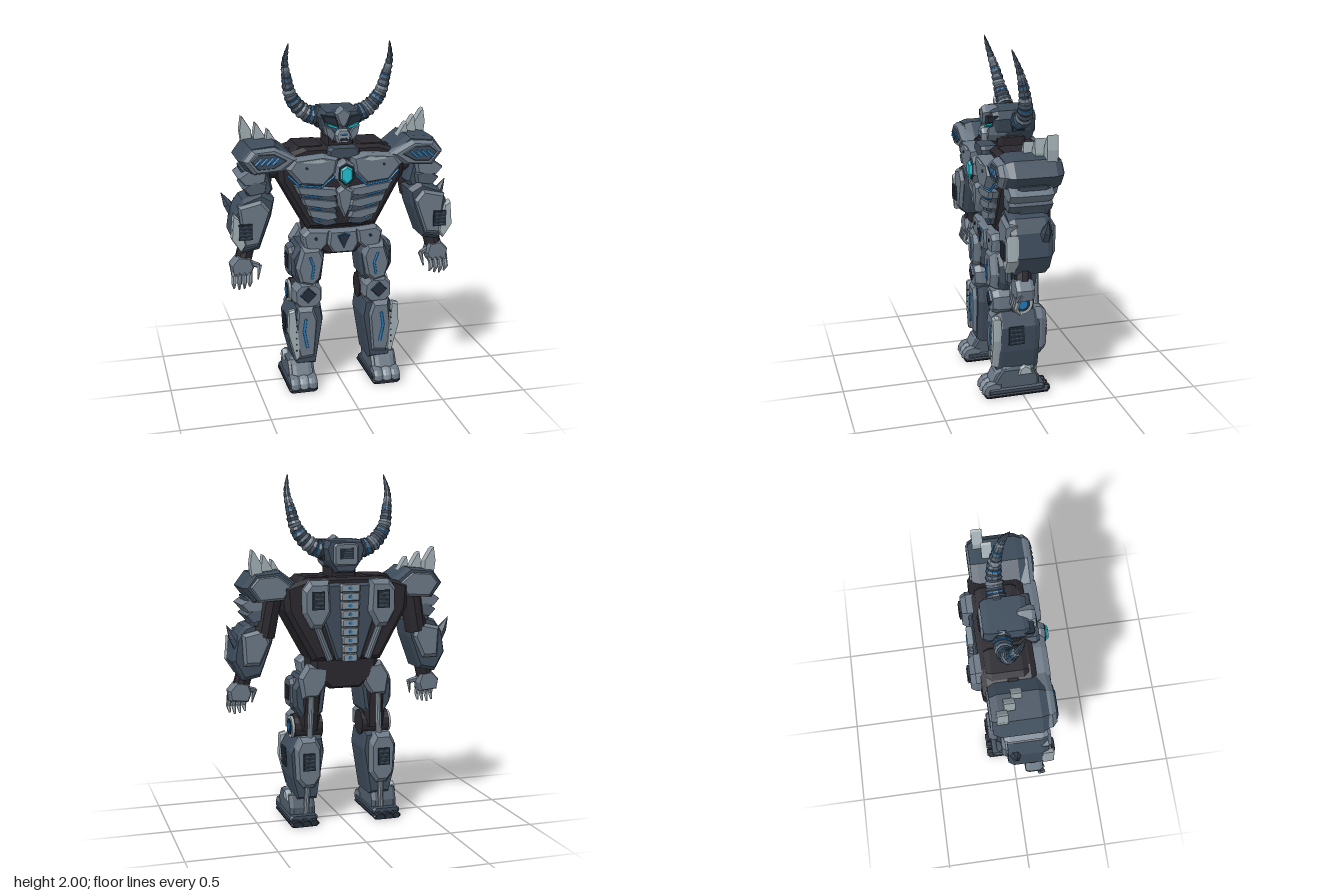
import * as THREE from 'three';
import { ConvexGeometry } from 'three/addons/geometries/ConvexGeometry.js';

const material = (name, color) => Object.assign(new THREE.MeshStandardMaterial({ color, flatShading: true }), { name });
const navy = material('navy armour', 0x3d4b5a), steel = material('steel armour', 0x6a7784);
const pale = material('pale plate', 0x9facb2), dark = material('dark frame', 0x29272d);
const shade = material('deep navy', 0x242d38), blue = material('blue light', 0x2078ba);
const cyan = material('cyan glow', 0x22bccd), slate = material('slate', 0x4f5c6a);
const silver = material('silver', 0x84919c);

export function createModel() {
  const root = new THREE.Group();
  let part = root, side = 1; // side mirrors x

  const group = (name, build) => {
    part = new THREE.Group();
    part.name = name;
    root.add(part);
    build();
    part = root;
  };
  const both = (name, build) => {
    for (side of [1, -1]) group((side > 0 ? 'left ' : 'right ') + name, build);
    side = 1;
  };
  const add = (name, mat, geo) => {
    const mesh = new THREE.Mesh(geo, mat);
    mesh.name = name;
    part.add(mesh);
    return mesh;
  };
  // Convex armour plate: an outline swept along an axis, with both ends chamfered
  const slab = (name, mat, pts, d0, d1, b = 0.02, k = 0.82, axis = 'z') => {
    const cx = pts.reduce((a, p) => a + p[0], 0) / pts.length, cy = pts.reduce((a, p) => a + p[1], 0) / pts.length;
    const out = [];
    for (const [d, s] of [[d0, k], [d0 + b, 1], [d1 - b, 1], [d1, k]]) {
      for (const p of pts) {
        const u = cx + (p[0] - cx) * s, v = cy + (p[1] - cy) * s;
        out.push(axis === 'z' ? new THREE.Vector3(side * u, v, d) : new THREE.Vector3(side * d, v, u));
      }
    }
    return add(name, mat, new ConvexGeometry(out));
  };
  const slabX = (name, mat, pts, x0, x1, b, k) => slab(name, mat, pts, x0, x1, b, k, 'x');
  const octagon = (x0, x1, y0, y1, c) => [[x0 + c, y0], [x1 - c, y0], [x1, y0 + c], [x1, y1 - c], [x1 - c, y1], [x0 + c, y1], [x0, y1 - c], [x0, y0 + c]];
  const block = (name, mat, x0, x1, y0, y1, z0, z1, c = 0.02) => slab(name, mat, octagon(x0, x1, y0, y1, c), z0, z1, c, 0.85);
  // Tapered rod between two points
  const rod = (name, mat, a, b, r0, r1 = r0, n = 10) => {
    const p = new THREE.Vector3(side * a[0], a[1], a[2]), q = new THREE.Vector3(side * b[0], b[1], b[2]);
    const mesh = add(name, mat, new THREE.CylinderGeometry(r1, r0, p.distanceTo(q), n));
    mesh.position.copy(p).lerp(q, 0.5);
    mesh.quaternion.setFromUnitVectors(new THREE.Vector3(0, 1, 0), q.sub(p).normalize());
  };
  const line = (name, mat, pts, r = 0.007) => {
    for (let i = 1; i < pts.length; i++) rod(name, mat, pts[i - 1], pts[i], r, r, 16);
  };
  // Vent with slats, facing sideways or along z
  const vent = (u, v, w, h, d, axis, dir = 1) => {
    const box = (n, m, y, hh, e, ww) => {
      const g = axis === 'x' ? new THREE.BoxGeometry(0.012, hh, ww) : new THREE.BoxGeometry(ww, hh, 0.012);
      add(n, m, g).position.set(axis === 'x' ? side * (d + e) : side * u, y, axis === 'x' ? u : d + e * dir);
    };
    box('vent frame', shade, v, h, 0, w);
    for (let i = 0; i < 4; i++) box('vent slat', navy, v + h * (i - 1.5) * 0.23, h * 0.07, 0.004, w * 0.8);
  };

  group('torso', () => {
    slab('torso core', dark, [[-0.22, 1.43], [0.22, 1.43], [0.37, 1.38], [0.36, 1.25], [0.2, 0.96], [-0.2, 0.96], [-0.36, 1.25], [-0.37, 1.38]], -0.17, 0.13, 0.03, 0.92);
    block('neck', dark, -0.08, 0.08, 1.4, 1.5, -0.08, 0.08);
    block('collar', navy, -0.09, 0.09, 1.37, 1.435, 0.08, 0.175);
    slab('gem housing', steel, [[0, 1.37], [0.05, 1.34], [0.055, 1.26], [0, 1.2], [-0.055, 1.26], [-0.05, 1.34]], 0.12, 0.212);
    slab('gem rim', shade, [[0, 1.35], [0.042, 1.33], [0.042, 1.26], [0, 1.225], [-0.042, 1.26], [-0.042, 1.33]], 0.2, 0.22, 0.008, 0.95);
    slab('chest gem', cyan, [[0, 1.342], [0.034, 1.322], [0.034, 1.265], [0, 1.235], [-0.034, 1.265], [-0.034, 1.322]], 0.2, 0.235, 0.012, 0.8);
    slab('sternum', steel, [[0, 1.22], [0.045, 1.19], [0.03, 1.1], [0, 1.03], [-0.03, 1.1], [-0.045, 1.19]], 0.12, 0.2);
    slab('back plate', navy, [[-0.13, 1.4], [0.13, 1.4], [0.15, 1.2], [0.07, 0.96], [-0.07, 0.96], [-0.15, 1.2]], -0.19, -0.15, 0.015, 0.93);
    for (let i = 0; i < 9; i++) {
      const y = 0.96 + i * 0.049, w = 0.043 + i * 0.002;
      block('vertebra', silver, -w, w, y, y + 0.044, -0.215, -0.18, 0.006);
      rod('vertebra light', blue, [0, y + 0.022, -0.21], [0, y + 0.022, -0.219], 0.01, 0.01, 16);
    }
  });
  both('chest armour', () => {
    slab('pectoral', steel, [[0.335, 1.33], [0.295, 1.385], [0.12, 1.4], [0.035, 1.38], [0.05, 1.3], [0.12, 1.225], [0.26, 1.24]], 0.09, 0.205, 0.03, 0.84);
    slab('pectoral trim', pale, [[0.28, 1.37], [0.13, 1.385], [0.09, 1.37], [0.15, 1.358]], 0.15, 0.207, 0.008, 0.9);
    rod('rivet', shade, [0.22, 1.335, 0.195], [0.22, 1.335, 0.21], 0.008);
    line('chest light', blue, [[0.32, 1.29, 0.16], [0.26, 1.232, 0.17], [0.13, 1.216, 0.175], [0.06, 1.28, 0.19]], 0.006);
    for (let i = 0; i < 3; i++) {
      const y = 1.2 - i * 0.07, w = 0.285 - i * 0.035, z = 0.185 - i * 0.008;
      slab('rib', steel, [[w, y + 0.03], [w - 0.02, y - 0.015], [0.09, y - 0.045], [0.03, y - 0.035], [0.045, y], [0.12, y + 0.008]], 0.02, z, 0.02, 0.88);
      slab('rib gap', navy, [[w - 0.02, y + 0.005], [w - 0.04, y - 0.055], [0.1, y - 0.08], [0.03, y - 0.07], [0.05, y - 0.04]], 0.02, z - 0.02, 0.02, 0.92);
      line('rib light', blue, [[w - 0.06, y - 0.03, z - 0.022], [0.13, y - 0.047, z - 0.018]], 0.005);
    }
    slab('flank plate', navy, [[0.34, 1.28], [0.28, 1.28], [0.19, 1.02], [0.22, 1.02]], -0.06, 0.12, 0.02, 0.9);
    slab('back pod', steel, [[0.12, 1.42], [0.23, 1.42], [0.27, 1.37], [0.27, 1.24], [0.22, 1.15], [0.16, 1.15], [0.11, 1.24]], -0.225, -0.12, 0.03, 0.8);
    vent(0.19, 1.31, 0.07, 0.1, -0.23, 'z', -1);
    rod('back pipe', steel, [0.2, 1.2, -0.18], [0.11, 0.97, -0.18], 0.02);
    block('trapezius', dark, 0.08, 0.28, 1.37, 1.44, -0.14, 0.09, 0.03);
  });

  group('head', () => {
    slab('skull', navy, [[-0.1, 1.635], [0.1, 1.635], [0.12, 1.59], [0.1, 1.52], [0.05, 1.45], [-0.05, 1.45], [-0.1, 1.52], [-0.12, 1.59]], -0.13, 0.115, 0.03, 0.88);
    slab('crest', steel, [[0, 1.655], [0.045, 1.62], [0.02, 1.56], [0, 1.54], [-0.02, 1.56], [-0.045, 1.62]], 0.06, 0.155, 0.02, 0.82);
    slab('muzzle', silver, [[0.025, 1.53], [0.042, 1.5], [0.03, 1.455], [-0.03, 1.455], [-0.042, 1.5], [-0.025, 1.53]], 0.08, 0.162, 0.015, 0.85);
    block('mouth', shade, -0.022, 0.022, 1.468, 1.484, 0.15, 0.168, 0.005);
    line('nose light', blue, [[-0.02, 1.502, 0.159], [0.02, 1.502, 0.159]], 0.006);
    block('rear head plate', steel, -0.075, 0.075, 1.49, 1.62, -0.142, -0.11, 0.015);
    vent(0, 1.56, 0.08, 0.06, -0.141, 'z', -1);
  });
  both('face and horn', () => {
    slab('brow', shade, [[0.04, 1.6], [0.115, 1.61], [0.105, 1.575], [0.02, 1.54]], 0.08, 0.14, 0.01, 0.9);
    slab('eye', cyan, [[0.092, 1.568], [0.083, 1.552], [0.035, 1.534], [0.027, 1.543]], 0.1, 0.146, 0.004, 0.95);
    slab('cheek', steel, [[0.1, 1.55], [0.06, 1.535], [0.04, 1.5], [0.055, 1.46], [0.09, 1.5]], 0.03, 0.135, 0.015, 0.85);
    vent(-0.03, 1.55, 0.07, 0.06, 0.112, 'x');
    const path = new THREE.CatmullRomCurve3([[0.08, 1.58, -0.03], [0.15, 1.59, -0.035], [0.21, 1.63, -0.035], [0.26, 1.7, -0.025], [0.285, 1.8, -0.005], [0.3, 1.9, 0.025], [0.287, 2, 0.06]].map(p => new THREE.Vector3(...p)));
    const n = 16, radius = t => 0.054 * (1 - t) ** 0.75 + 0.002, at = i => path.getPointAt(i / n).toArray();
    // Each ring swells in the middle
    for (let i = 0; i < n; i++) {
      const mat = i % 4 === 3 && i < 12 ? steel : navy, r = radius((i + 0.5) / n) * 1.08;
      rod('horn ring', mat, at(i), at(i + 0.5), radius(i / n) * 0.9, r, 10);
      rod('horn ring', mat, at(i + 0.5), at(i + 1), r, radius((i + 1) / n) * 0.9, 10);
      if (i % 4 === 1 && i < 10) rod('horn light', blue, at(i + 0.9), at(i + 1.1), radius((i + 1) / n) * 1.04, radius((i + 1) / n) * 1.04, 10);
    }
  });

  both('arm', () => {
    rod('shoulder joint', dark, [0.26, 1.33, 0], [0.45, 1.33, 0], 0.085);
    slab('shoulder pad', navy, [[0.59, 1.38], [0.53, 1.46], [0.38, 1.475], [0.27, 1.39], [0.33, 1.31], [0.53, 1.3]], -0.145, 0.16, 0.04, 0.85);
    slab('shoulder front plate', steel, [[0.57, 1.385], [0.52, 1.445], [0.39, 1.455], [0.26, 1.385], [0.35, 1.32], [0.51, 1.31]], 0.1, 0.2, 0.025, 0.8);
    slab('shoulder inset', navy, [[0.53, 1.39], [0.49, 1.425], [0.4, 1.425], [0.33, 1.385], [0.4, 1.345], [0.49, 1.34]], 0.19, 0.207, 0.006, 0.93);
    slab('shoulder rear plate', steel, [[0.57, 1.385], [0.52, 1.445], [0.39, 1.455], [0.3, 1.385], [0.35, 1.31], [0.51, 1.3]], -0.155, -0.08, 0.025, 0.8);
    for (let i = 0; i < 4; i++) line('shoulder light', blue, [[0.375 + i * 0.032, 1.402, 0.206], [0.41 + i * 0.032, 1.368, 0.206]]);
    [[0.535, 1.59, -0.09], [0.465, 1.56, -0.045], [0.405, 1.53, 0]].forEach(([x, y, z]) =>
      slab('shoulder spike', pale, [[x, y], [x + 0.012, y - 0.08], [x, 1.42], [x - 0.06, 1.42], [x - 0.055, y - 0.08], [x - 0.012, y - 0.01]], z - 0.03, z + 0.03, 0.008, 0.95));
    slab('upper arm', navy, [[0.57, 1.33], [0.42, 1.33], [0.39, 1.2], [0.43, 1.14], [0.53, 1.15]], -0.08, 0.11, 0.03, 0.8);
    rod('arm frame', dark, [0.42, 1.32, -0.05], [0.46, 1.1, -0.04], 0.065);
    [[1.26, 0.595, steel], [1.2, 0.57, slate]].forEach(([y, w, mat]) =>
      slab('upper arm plate', mat, [[w, y + 0.025], [w - 0.06, y + 0.065], [0.43, y + 0.05], [0.44, y - 0.005], [w - 0.04, y - 0.02]], -0.09, 0.15, 0.03, 0.88));
    slab('forearm', navy, [[0.62, 1.09], [0.57, 1.16], [0.46, 1.2], [0.39, 1.16], [0.41, 1.06], [0.48, 0.87], [0.58, 0.85], [0.64, 0.96]], -0.07, 0.155, 0.03, 0.87);
    slab('forearm front plate', steel, [[0.6, 1.13], [0.47, 1.16], [0.42, 1.1], [0.49, 0.9], [0.57, 0.89]], 0.1, 0.177, 0.02, 0.86);
    slab('forearm edge', pale, [[0.63, 1.09], [0.6, 1.07], [0.565, 0.91], [0.59, 0.87], [0.642, 0.95]], 0.12, 0.185, 0.012, 0.92);
    slab('forearm rear plate', steel, [[0.59, 1.12], [0.46, 1.15], [0.43, 1.07], [0.49, 0.94], [0.58, 0.94]], -0.1, -0.05, 0.02, 0.8);
    vent(0.565, 0.99, 0.075, 0.09, 0.186, 'z');
    rod('elbow spike', navy, [0.6, 1.05, -0.03], [0.63, 1.1, -0.03], 0.034, 0.028, 6);
    rod('elbow spike tip', navy, [0.63, 1.1, -0.03], [0.666, 1.168, -0.03], 0.028, 0.002, 6);
    rod('wrist', dark, [0.54, 0.9, 0.07], [0.57, 0.79, 0.08], 0.048);
    slab('hand', steel, [[0.53, 0.82], [0.6, 0.83], [0.645, 0.78], [0.635, 0.72], [0.53, 0.71], [0.51, 0.76]], 0.03, 0.13, 0.02, 0.85);
    for (let i = 0; i < 4; i++) {
      const x = 0.537 + i * 0.03, tip = 0.63 + Math.abs(i - 1.7) * 0.01;
      rod('knuckle', slate, [x, 0.755, 0.1], [x, 0.715, 0.125], 0.018, 0.016, 6);
      rod('finger', silver, [x, 0.72, 0.12], [x + 0.003, 0.675, 0.135], 0.015, 0.014, 6);
      rod('claw', pale, [x + 0.003, 0.68, 0.135], [x, tip, 0.11], 0.014, 0.006, 6);
    }
    rod('thumb', steel, [0.53, 0.78, 0.09], [0.48, 0.765, 0.11], 0.018, 0.015, 6);
    rod('thumb claw', silver, [0.478, 0.77, 0.11], [0.492, 0.69, 0.13], 0.015, 0.004, 6);
  });

  group('pelvis', () => {
    slab('pelvis core', dark, [[-0.2, 0.98], [0.2, 0.98], [0.2, 0.88], [0.09, 0.79], [-0.09, 0.79], [-0.2, 0.88]], -0.13, 0.1, 0.03, 0.85);
    slab('groin plate', steel, [[-0.08, 0.95], [0.08, 0.95], [0.09, 0.87], [0.06, 0.82], [-0.06, 0.82], [-0.09, 0.87]], 0.06, 0.165, 0.02, 0.88);
    slab('belt emblem rim', blue, [[-0.04, 0.925], [0, 0.94], [0.04, 0.925], [0, 0.845]], 0.15, 0.169, 0.006, 0.95);
    slab('belt emblem plate', shade, [[-0.035, 0.922], [0, 0.935], [0.035, 0.922], [0, 0.852]], 0.15, 0.173, 0.006, 0.95);
  });
  both('leg', () => {
    slab('hip plate', steel, [[0.08, 0.95], [0.2, 0.96], [0.235, 0.93], [0.22, 0.85], [0.13, 0.83], [0.09, 0.87]], 0.03, 0.155);
    rod('hip rivet', shade, [0.16, 0.91, 0.15], [0.16, 0.91, 0.16], 0.01);
    slab('seat plate', steel, [[0.1, 0.92], [0.22, 0.94], [0.27, 0.86], [0.25, 0.74], [0.16, 0.74], [0.11, 0.82]], -0.13, -0.05, 0.03, 0.8);
    // Thigh
    slab('thigh', navy, [[0.25, 0.87], [0.13, 0.87], [0.1, 0.8], [0.12, 0.65], [0.16, 0.61], [0.25, 0.62], [0.29, 0.69], [0.295, 0.8]], -0.09, 0.13, 0.03, 0.85);
    slab('thigh front plate', steel, [[0.24, 0.86], [0.14, 0.86], [0.115, 0.8], [0.14, 0.67], [0.18, 0.63], [0.25, 0.65], [0.275, 0.74]], 0.07, 0.175, 0.03, 0.82);
    line('thigh light', blue, [[0.2, 0.81, 0.174], [0.178, 0.75, 0.174], [0.19, 0.68, 0.174]]);
    slabX('thigh side plate', slate, octagon(-0.05, 0.1, 0.67, 0.85, 0.03), 0.25, 0.305, 0.02, 0.85);
    vent(0.03, 0.76, 0.075, 0.085, 0.304, 'x');
    rod('thigh frame', dark, [0.19, 0.8, -0.06], [0.2, 0.55, -0.03], 0.065);
    rod('thigh piston', silver, [0.2, 0.75, -0.11], [0.21, 0.5, -0.11], 0.017);
    // Knee
    rod('knee joint', dark, [0.12, 0.56, 0], [0.285, 0.56, 0], 0.075, 0.075, 14);
    rod('knee ring', pale, [0.28, 0.56, 0], [0.3, 0.56, 0], 0.064, 0.064, 20);
    rod('knee disc', shade, [0.29, 0.56, 0], [0.304, 0.56, 0], 0.046, 0.046, 16);
    rod('knee light', blue, [0.3, 0.56, 0], [0.309, 0.56, 0], 0.027, 0.027, 16);
    block('knee guard', steel, 0.125, 0.29, 0.5, 0.645, 0.03, 0.165, 0.035);
    slab('knee diamond rim', blue, [[0.21, 0.63], [0.26, 0.58], [0.21, 0.53], [0.16, 0.58]], 0.15, 0.169, 0.006, 0.95);
    slab('knee diamond', shade, [[0.21, 0.627], [0.257, 0.58], [0.21, 0.533], [0.163, 0.58]], 0.15, 0.175, 0.006, 0.93);
    // Shin
    slab('shin', navy, [[0.28, 0.515], [0.13, 0.515], [0.115, 0.42], [0.16, 0.14], [0.28, 0.14], [0.315, 0.28], [0.325, 0.43]], -0.1, 0.15, 0.03, 0.9);
    slab('shin front plate', steel, [[0.27, 0.505], [0.18, 0.505], [0.155, 0.43], [0.175, 0.19], [0.26, 0.18], [0.29, 0.3]], 0.08, 0.172, 0.025, 0.84);
    slab('shin edge', pale, [[0.325, 0.49], [0.29, 0.5], [0.272, 0.35], [0.262, 0.2], [0.285, 0.18], [0.332, 0.36]], 0.13, 0.178, 0.012, 0.93);
    line('shin light', blue, [[0.225, 0.44, 0.171], [0.237, 0.36, 0.171], [0.218, 0.26, 0.171]], 0.008);
    for (let i = 0; i < 6; i++) rod('shin rivet', shade, [0.283, 0.25 + i * 0.038, 0.15], [0.283, 0.25 + i * 0.038, 0.181], 0.005, 0.005, 6);
    vent(0.04, 0.38, 0.09, 0.11, 0.323, 'x');
    slab('calf pod', steel, [[0.18, 0.52], [0.27, 0.52], [0.3, 0.46], [0.29, 0.27], [0.25, 0.22], [0.19, 0.22], [0.15, 0.28], [0.15, 0.46]], -0.15, -0.05, 0.03, 0.82);
    vent(0.225, 0.38, 0.07, 0.1, -0.154, 'z', -1);
    rod('ankle piston', silver, [0.22, 0.26, -0.1], [0.23, 0.06, -0.09], 0.017);
    // Foot
    block('sole', shade, 0.165, 0.335, 0, 0.03, -0.16, 0.22, 0.012);
    block('sole rim', navy, 0.168, 0.335, 0.02, 0.062, -0.13, 0.21, 0.012);
    slabX('foot', slate, [[0.18, 0.05], [0.175, 0.09], [0.15, 0.13], [0.12, 0.17], [-0.07, 0.17], [-0.1, 0.1], [-0.1, 0.05]], 0.175, 0.325, 0.02, 0.9);
    slabX('instep', steel, [[0.19, 0.06], [0.185, 0.1], [0.16, 0.15], [0.1, 0.18], [0.05, 0.17], [0.05, 0.06]], 0.19, 0.31, 0.025, 0.85);
    slabX('ankle guard', pale, [[0.03, 0.13], [-0.06, 0.13], [-0.045, 0.17], [-0.01, 0.19], [0.02, 0.17]], 0.3, 0.335, 0.01, 0.8);
    [0.198, 0.25, 0.302].forEach((x, i) => {
      slabX('toe', i === 1 ? silver : steel, [[0.24, 0.03], [0.236, 0.06], [0.215, 0.088], [0.17, 0.1], [0.12, 0.09], [0.12, 0.02], [0.22, 0.015]], x - 0.026, x + 0.026, 0.016, 0.8);
      block('heel claw', shade, x - 0.022, x + 0.022, 0.004, 0.04, -0.165, -0.1, 0.01);
    });
  });
  return root;
}
